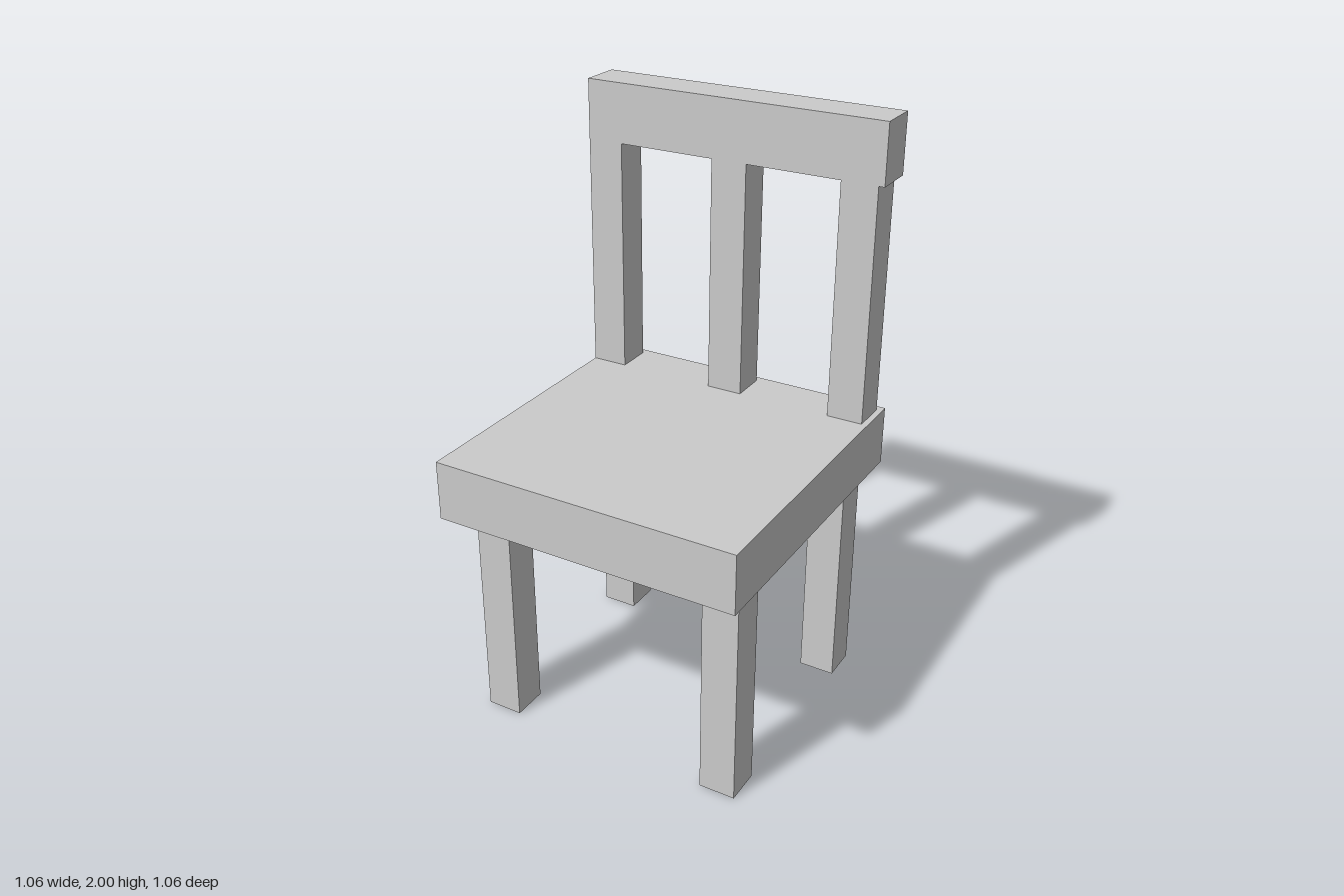
import * as THREE from 'three';

export function createModel() {
  const chair = new THREE.Group();
  chair.name = 'chair';
  const material = new THREE.MeshStandardMaterial({ color: 0xcccccc, flatShading: true });

  // Box given by its centre in x and z, its bottom and top, width and depth
  function addBox(name, x, z, bottom, top, width, depth) {
    const mesh = new THREE.Mesh(new THREE.BoxGeometry(width, top - bottom, depth), material);
    mesh.name = name;
    mesh.position.set(x, (bottom + top) / 2, z);
    chair.add(mesh);
  }

  const seatSize = 1.056, seatBottom = 0.795, seatTop = 0.998;
  const railBottom = 1.8, post = 0.124;

  addBox('seat', 0, 0, seatBottom, seatTop, seatSize, seatSize);

  // Four square legs
  for (const [side, x] of [['Right', -0.42], ['Left', 0.415]]) {
    addBox('front' + side + 'Leg', x, 0.343, 0, seatBottom, post, post);
    addBox('back' + side + 'Leg', x, -0.405, 0, seatBottom, post, post);
  }

  // Backrest: three posts under a top rail
  for (const [place, x] of [['right', -0.466], ['middle', -0.003], ['left', 0.446]]) {
    addBox(place + 'BackPost', x, -0.441, seatTop, railBottom, post, post);
  }
  addBox('topRail', 0, -0.45, railBottom, 2, seatSize, 0.143);

  return chair;
}
